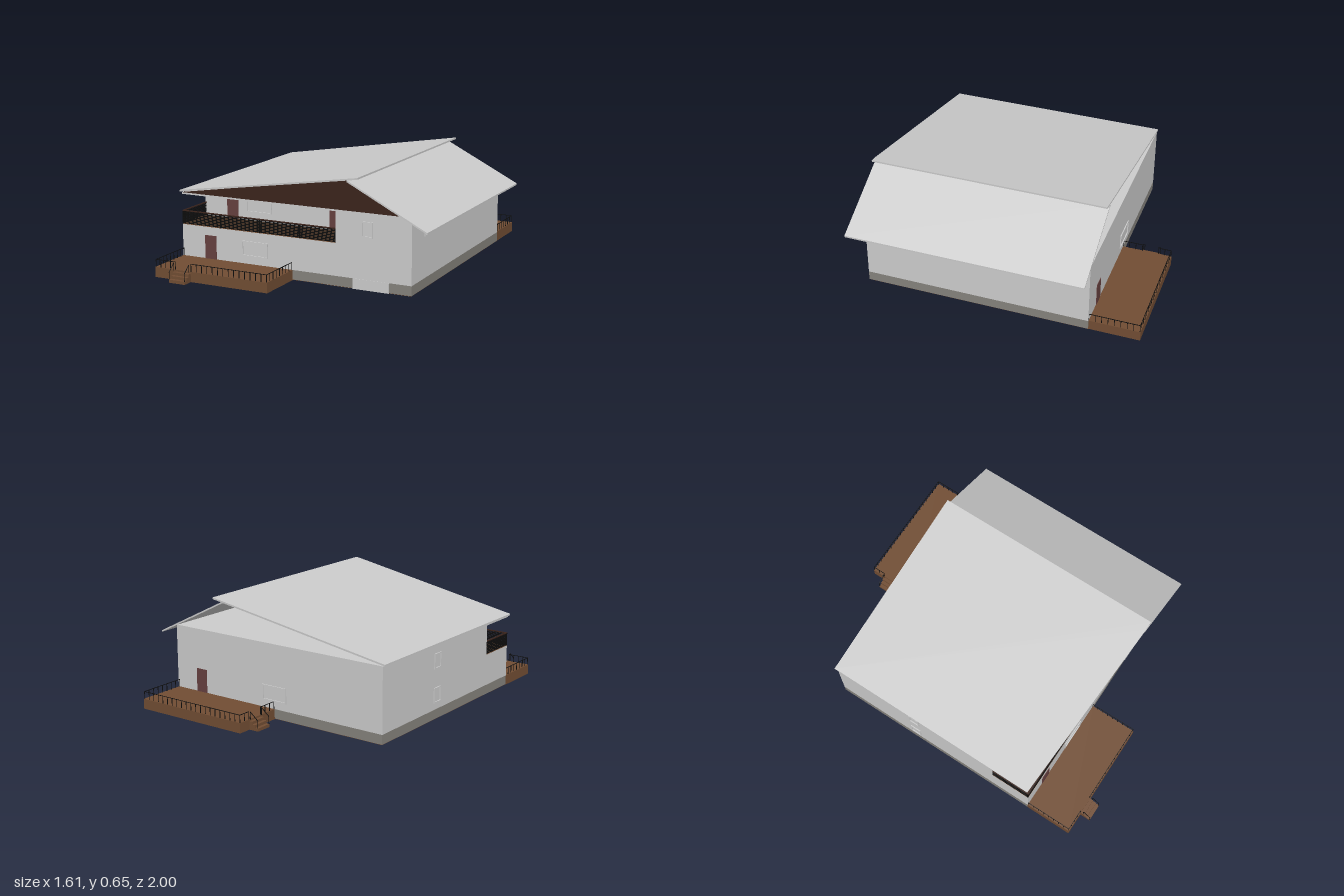
import * as THREE from 'three';
import { mergeGeometries } from 'three/addons/utils/BufferGeometryUtils.js';

const mat = (name, color) => {
  const m = new THREE.MeshStandardMaterial({ color });
  m.name = name;
  return m;
};

export function createModel() {
  const house = new THREE.Group();
  house.name = 'house';
  const wall = mat('wall white', 0xcccccc);
  const roofing = mat('roof grey', 0xcacaca);
  const stone = mat('foundation grey', 0x85827c);
  const wood = mat('deck brown', 0x714d33);
  const darkWood = mat('gable brown', 0x3b241c);
  const doorRed = mat('door red', 0x66403f);
  const black = mat('railing black', 0x0c0c0c);

  const add = (name, geometry, material) => {
    const m = new THREE.Mesh(geometry, material);
    m.name = name;
    house.add(m);
    return m;
  };
  // Box geometry from its min and max corners
  const span = (x0, x1, y0, y1, z0, z1) =>
    new THREE.BoxGeometry(x1 - x0, y1 - y0, z1 - z0)
      .translate((x0 + x1) / 2, (y0 + y1) / 2, (z0 + z1) / 2);
  const box = (name, material, ...s) => add(name, span(...s), material);
  // Plan outline of [x, z] points raised to a thickness
  const plan = (pts, y, t) => {
    const s = new THREE.Shape(pts.map(([x, z]) => new THREE.Vector2(x, -z)));
    return new THREE.ExtrudeGeometry(s, { depth: t, bevelEnabled: false })
      .rotateX(-Math.PI / 2).translate(0, y, 0);
  };

  const L = -0.79, R = 0.68, B = -0.70, F = 0.645; // outer wall planes
  const BZ = 0.395, BX = 0.22;                     // balcony back and right end

  // Base
  box('foundation', stone, L, R, 0.004, 0.06, B, F);
  box('houseUnderside', wood, L + 0.001, R - 0.001, 0.002, 0.004, B + 0.001, F - 0.001);
  box('garageFloor', stone, 0.15, 0.67, 0, 0.002, 0.15, 0.64);
  box('garageDoor', wall, 0.325, 0.545, 0, 0.06, F - 0.004, F + 0.002);

  // Walls, with a recessed corner balcony on the upper floor
  box('lowerWalls', wall, L, R, 0.06, 0.25, B, F);
  add('upperWalls', plan([[L, B], [L, BZ], [BX, BZ], [BX, F], [R, F], [R, B]], 0.25, 0.18), wall);
  box('atticFloor', wall, L, R, 0.43, 0.44, B, F);
  box('balconyFloor', wood, L, BX, 0.25, 0.252, BZ, F);

  // Front gable; the back of the attic is open
  const gable = new THREE.Shape([[L, 0.44], [R, 0.44], [0.33, 0.62]]
    .map(([x, y]) => new THREE.Vector2(x, y)));
  add('frontGable', new THREE.ExtrudeGeometry(gable, { depth: 0.008, bevelEnabled: false })
    .translate(0, 0, F - 0.008), darkWood);

  // Sloped roof slabs: flat outlines sheared along x
  const slab = (name, pts, x0, y0, x1, y1) => {
    const g = plan(pts, 0, 0.01);
    const p = g.attributes.position;
    for (let i = 0; i < p.count; i++) {
      p.setY(i, p.getY(i) + y0 + (y1 - y0) * (p.getX(i) - x0) / (x1 - x0));
    }
    g.computeVertexNormals();
    add(name, g, roofing);
  };
  slab('longRoof', [[-0.805, -0.703], [-0.805, 0.645], [0.34, 0.72], [0.39, 0.72], [0.39, -0.703]],
    -0.805, 0.442, 0.39, 0.636);
  slab('shortRoof', [[0.325, -0.703], [0.325, 0.72], [0.80, 0.72], [0.80, -0.703]],
    0.325, 0.617, 0.80, 0.377);

  // Doors and window frames, laid on a wall facing the given turn about y
  const place = (m, x, y, z, turn) => {
    m.position.set(x, y, z);
    m.rotation.y = turn;
  };
  const door = (x, y, z, turn) =>
    place(add('door', span(-0.038, 0.038, 0, 0.14, -0.002, 0.003), doorRed), x, y, z, turn);
  const frame = (x, y, z, turn, w) => {
    const h = 0.09, t = 0.007, d = 0.006, a = w / 2;
    const g = mergeGeometries([
      span(-a, a, 0, t, 0, d), span(-a, a, h - t, h, 0, d),
      span(-a, -a + t, t, h - t, 0, d), span(a - t, a, t, h - t, 0, d)]);
    place(add('windowFrame', g, wall), x, y, z, turn);
  };
  door(-0.597, 0.06, F, 0);
  door(-0.597, 0.252, BZ, 0);
  door(0.092, 0.252, BZ, 0);
  door(0.49, 0.06, B, Math.PI);
  frame(-0.30, 0.105, F, 0, 0.17);
  frame(0.413, 0.30, F, 0, 0.07);
  frame(-0.415, 0.30, BZ, 0, 0.17);
  frame(-0.055, 0.105, B, Math.PI, 0.17);
  frame(R, 0.30, 0.39, Math.PI / 2, 0.17);
  frame(L, 0.10, -0.155, -Math.PI / 2, 0.07);
  frame(L, 0.30, -0.155, -Math.PI / 2, 0.07);

  // Decks and steps
  box('frontDeck', wood, L, -0.055, 0, 0.06, F, 0.935);
  box('backDeck', wood, -0.055, 0.675, 0, 0.06, -1, B);
  for (let i = 0; i < 3; i++) {
    const h = 0.05 - i * 0.016;
    const a = i * 0.0215, b = a + 0.0215;
    box('frontStep', wood, -0.655, -0.55, 0, h, 0.935 + a, 0.935 + b);
    box('backStep', wood, -0.055 - b * 0.93, -0.055 - a * 0.93, 0, h, -0.92, -0.82);
  }

  // Thin bar between two points
  const bar = (a, b, t) => {
    const p = new THREE.Vector3(...a), q = new THREE.Vector3(...b);
    const g = new THREE.BoxGeometry(t, t, p.distanceTo(q));
    const m = new THREE.Object3D();
    m.position.copy(p).add(q).multiplyScalar(0.5);
    m.lookAt(q);
    m.updateMatrix();
    return g.applyMatrix4(m.matrix);
  };
  // Deck railing: a handrail on evenly spaced posts
  const railing = (x0, z0, x1, z1, foot0 = 0.06, foot1 = 0.06) => {
    const n = Math.max(1, Math.round(Math.hypot(x1 - x0, z1 - z0) / 0.036));
    const parts = [bar([x0, foot0 + 0.044, z0], [x1, foot1 + 0.044, z1], 0.003)];
    for (let i = 0; i <= n; i++) {
      const k = i / n, x = x0 + (x1 - x0) * k, z = z0 + (z1 - z0) * k;
      const y = foot0 + (foot1 - foot0) * k;
      parts.push(span(x - 0.0015, x + 0.0015, y, y + 0.044, z - 0.0015, z + 0.0015));
    }
    add('deckRailing', mergeGeometries(parts), black);
  };
  railing(-0.786, F, -0.786, 0.931);
  railing(-0.786, 0.931, -0.655, 0.931);
  railing(-0.55, 0.931, -0.059, 0.931);
  railing(-0.059, 0.931, -0.059, F);
  for (const x of [-0.653, -0.552]) railing(x, 0.95, x, 0.997, 0.06, 0.018);
  railing(0.671, B, 0.671, -0.996);
  railing(0.671, -0.996, -0.051, -0.996);
  railing(-0.051, -0.996, -0.051, -0.92);
  railing(-0.051, -0.82, -0.051, B);
  for (const z of [-0.918, -0.822]) railing(-0.06, z, -0.112, z, 0.06, 0.018);

  // Balcony railing: stacked bars along the front and left side
  const bars = [];
  for (let i = 0; i < 9; i++) {
    const y = 0.254 + i * 0.0088;
    bars.push(span(L, BX, y, y + 0.0055, F - 0.006, F - 0.001));
    bars.push(span(L + 0.001, L + 0.006, y, y + 0.0055, BZ, F - 0.006));
  }
  for (const x of [-0.787, -0.53, -0.27, -0.01, 0.217]) {
    bars.push(span(x - 0.003, x + 0.003, 0.25, 0.328, F - 0.008, F));
  }
  add('balconyRailing', mergeGeometries(bars), black);
  box('balconyHandrail', darkWood, L, BX, 0.328, 0.333, F - 0.01, F);
  box('balconySideHandrail', darkWood, L, L + 0.01, 0.328, 0.333, BZ, F - 0.01);

  return house;
}
